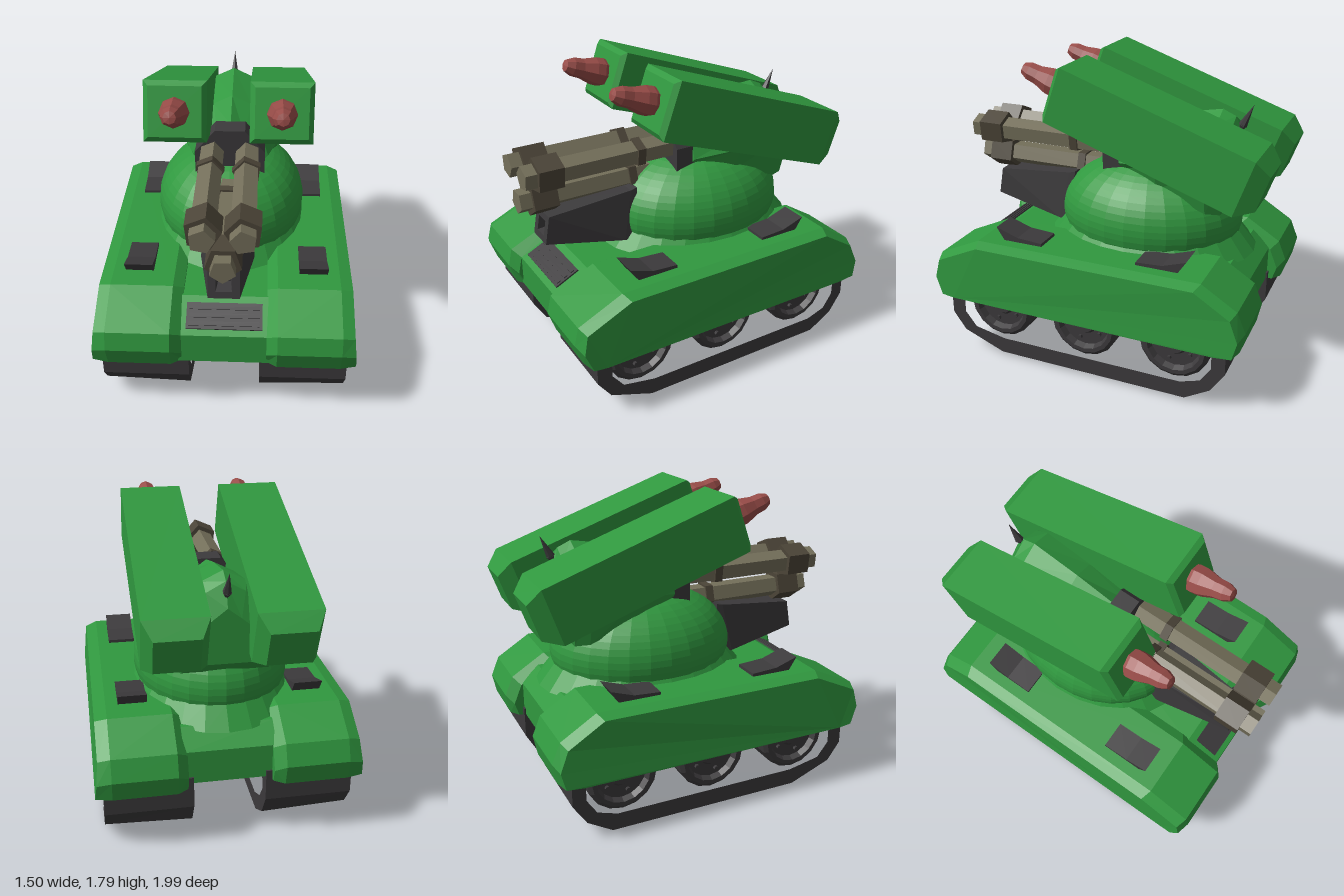
import * as THREE from 'three';

const paint = (name, color) => Object.assign(new THREE.MeshStandardMaterial({ color }), { name });

export function createModel() {
  const green = paint('hull green', 0x30983f);
  const dark = paint('dark rubber', 0x3c3a3c);
  const khaki = paint('barrel khaki', 0x746f5a);
  const brown = paint('collar brown', 0x4c4538);
  const red = paint('missile red', 0x984c48);
  const tank = new THREE.Group();
  tank.name = 'tank';

  // Faceted mesh
  function add(name, geo, mat, parent = tank) {
    const g = geo.index ? geo.toNonIndexed() : geo;
    g.computeVertexNormals();
    const m = new THREE.Mesh(g, mat);
    m.name = name;
    parent.add(m);
    return m;
  }

  // Solid skin through equal-length loops of [x, y, z], turned outward by signed volume
  function loft(sections) {
    const n = sections[0].length, pos = sections.flat(2), idx = [];
    const last = (sections.length - 1) * n;
    for (let s = 0; s < sections.length - 1; s++)
      for (let i = 0; i < n; i++) {
        const a = s * n + i, b = s * n + (i + 1) % n;
        idx.push(a, b, b + n, a, b + n, a + n);
      }
    for (let i = 1; i < n - 1; i++) idx.push(0, i + 1, i, last, last + i, last + i + 1);
    const p = i => new THREE.Vector3().fromArray(pos, i * 3);
    let volume = 0;
    for (let i = 0; i < idx.length; i += 3) volume += p(idx[i]).dot(p(idx[i + 1]).cross(p(idx[i + 2])));
    if (volume < 0) idx.reverse();
    const g = new THREE.BufferGeometry();
    g.setAttribute('position', new THREE.Float32BufferAttribute(pos, 3));
    g.setIndex(idx);
    return g;
  }

  // Side profile of [z, y] points extruded across x, centred on x = 0
  const vec = list => list.map(([a, b]) => new THREE.Vector2(a, b));
  function extrudeX(profile, width, hole) {
    const shape = new THREE.Shape(vec(profile));
    if (hole) shape.holes.push(new THREE.Path(vec(hole)));
    return new THREE.ExtrudeGeometry(shape, { depth: width, bevelEnabled: false })
      .rotateY(-Math.PI / 2).translate(width / 2, 0, 0);
  }
  const rect = (w, y0, y1, z0, z1 = z0, wTop = w) =>
    [[-w, y0, z0], [w, y0, z0], [wTop, y1, z1], [-wTop, y1, z1]];

  // Hull
  add('upperHull', extrudeX([[0.92, 0.38], [0.92, 0.57], [0.7, 0.68], [-0.76, 0.68], [-0.87, 0.58], [-0.87, 0.38]], 0.52), green);
  add('lowerHull', extrudeX([[0.9, 0.4], [0.72, 0.275], [-0.7, 0.275], [-0.86, 0.4]], 0.41), green);
  const vent = add('frontVent', new THREE.BoxGeometry(0.43, 0.012, 0.16), dark);
  vent.position.set(0, 0.626, 0.815);
  vent.rotation.x = Math.atan2(0.11, 0.22);
  for (const i of [-1, 0, 1]) {
    const slat = add('ventSlat', new THREE.BoxGeometry(0.4, 0.009, 0.025), dark);
    slat.rotation.x = vent.rotation.x;
    slat.position.set(0, 0.632 - i * 0.022, 0.818 + i * 0.044);
  }

  // Fenders, tracks and wheels
  const fender = [[0.86, 0.36], [0.94, 0.37], [0.985, 0.5], [0.96, 0.61], [0.69, 0.735],
    [-0.71, 0.74], [-0.92, 0.61], [-0.97, 0.49], [-0.945, 0.37], [-0.84, 0.36]];
  const trackOuter = [[0.88, 0.42], [0.88, 0.23], [0.8, 0.1], [0.54, 0], [-0.65, 0], [-0.8, 0.09], [-0.88, 0.23], [-0.88, 0.42]];
  const trackInner = [[0.79, 0.4], [0.79, 0.25], [0.72, 0.16], [0.52, 0.1], [-0.62, 0.1], [-0.74, 0.16], [-0.8, 0.25], [-0.8, 0.4]];
  const wheelProfile = vec([[0, -0.18], [0.2, -0.18], [0.213, -0.16], [0.213, 0.18], [0.19, 0.2],
    [0.165, 0.2], [0.15, 0.165], [0.075, 0.165], [0.06, 0.185], [0, 0.185]]);
  for (const s of [1, -1]) {
    const side = (x, inset, flare = 0) => fender.map(([z, y]) => {
      const k = y > 0.45 ? inset : 0;
      return [s * (x + (y < 0.45 ? flare : y < 0.55 ? flare / 2 : 0)), y - k, z - Math.sign(z) * inset];
    });
    add('fender', loft([side(0.24, 0.04), side(0.3, 0), side(0.66, 0), side(0.73, 0.022, 0.022)]), green);

    const belt = extrudeX(trackOuter, 0.5, trackInner).translate(s * 0.455, 0, 0);
    const p = belt.attributes.position;
    for (let i = 0; i < p.count; i++)
      if (p.getY(i) < 0.15) p.setY(i, p.getY(i) + (Math.abs(p.getX(i)) - 0.2) * 0.04);
    add('track', belt, dark);

    for (const z of [0.57, 0.005, -0.56]) {
      const wheel = new THREE.Group();
      wheel.name = 'wheel';
      wheel.position.set(s * 0.455, 0.315, z);
      wheel.rotation.z = -s * Math.PI / 2;
      tank.add(wheel);
      add('wheelDisc', new THREE.LatheGeometry(wheelProfile, 16), dark, wheel);
      for (let i = 0; i < 5; i++) {
        const a = i / 5 * Math.PI * 2 + 0.3;
        add('wheelBolt', new THREE.CylinderGeometry(0.014, 0.014, 0.02, 6), dark, wheel)
          .position.set(Math.cos(a) * 0.112, 0.173, Math.sin(a) * 0.112);
      }
    }

    // Raised flaps on the fender tops
    for (const e of [1, -1]) {
      const flap = [[0.6, 0.812], [0.46, 0.765], [0.3, 0.755], [0.3, 0.72], [0.54, 0.72]];
      add('fenderFlap', extrudeX(flap.map(([z, y]) => [z * e, y]), 0.165).translate(s * 0.508, 0, 0), dark);
    }
  }

  // Turret ring and dome
  add('turretRing', new THREE.CylinderGeometry(0.97, 1.14, 0.12, 24).scale(0.45, 1, 0.58).translate(0, 0.72, -0.17), green);
  add('turretDome', new THREE.SphereGeometry(1, 28, 18, 0, Math.PI * 2, 0, Math.PI * 0.6)
    .scale(0.463, 0.37, 0.57).translate(0, 0.84, -0.17), green);

  // Hood over the dome, carrying the pods
  const hood = (z, w, low, shoulder, top, skew = 0) => [[-w * 0.8, low, z], [w * 0.8, low, z], [w, shoulder - 0.08, z],
    [w * 0.9, shoulder, z], [w * 0.35, top - 0.06, z + skew], [0, top, z + skew],
    [-w * 0.35, top - 0.06, z + skew], [-w * 0.9, shoulder, z], [-w, shoulder - 0.08, z]];
  add('turretHood', loft([hood(-0.04, 0.23, 1.14, 1.27, 1.4), hood(-0.3, 0.34, 1.08, 1.32, 1.47),
    hood(-0.6, 0.36, 0.98, 1.33, 1.525), hood(-0.68, 0.31, 0.97, 1.27, 1.49), hood(-0.745, 0.22, 1.04, 1.2, 1.36)]), green);
  const fin = add('antennaFin', new THREE.ConeGeometry(0.026, 0.14, 6), dark);
  fin.position.set(0, 1.505, -0.75);
  fin.rotation.x = -0.45;
  const finBase = add('antennaBase', new THREE.ConeGeometry(0.026, 0.06, 6), dark);
  finBase.position.set(0, 1.42, -0.71);
  finBase.rotation.x = Math.PI - 0.45;

  // Lower gun housing with a square muzzle
  add('gunHousing', loft([rect(0.165, 0.73, 1.05, 0.3, 0.3, 0.13), rect(0.16, 0.735, 1.04, 0.4, 0.34, 0.13),
    rect(0.088, 0.81, 0.98, 0.88, 0.85), rect(0.045, 0.85, 0.94, 0.873, 0.857), rect(0.035, 0.86, 0.93, 0.79)]), dark);
  add('gunBore', new THREE.BoxGeometry(0.035, 0.035, 0.03), dark).position.set(0, 0.895, 0.795);

  // Triple barrel cluster and its mount
  const mount = z => [[-0.21, 1.13, z], [0.21, 1.13, z], [0.21, 1.27, z], [0.09, 1.41, z], [-0.09, 1.41, z], [-0.21, 1.27, z]];
  add('barrelMount', loft([mount(-0.06), mount(0.07)]), dark);
  for (let i = 0; i < 3; i++) {
    const a = -Math.PI / 2 + i * Math.PI * 2 / 3;
    const barrel = new THREE.Group();
    barrel.name = 'barrel';
    barrel.position.set(Math.cos(a) * 0.125, 1.205 + Math.sin(a) * 0.125, 0);
    barrel.rotation.z = a;
    tank.add(barrel);
    const tube = (name, r, z0, z1, mat) => add(name, new THREE.CylinderGeometry(r, r, z1 - z0, 5)
      .rotateX(Math.PI / 2).rotateZ(Math.PI / 2).translate(0, 0, (z0 + z1) / 2), mat, barrel);
    tube('barrelTube', 0.073, 0.02, 1, khaki);
    tube('barrelBand', 0.087, 0.26, 0.31, brown);
    tube('barrelCollar', 0.105, 0.78, 0.93, brown);
  }

  // Missile pods, tilted upward
  const missile = vec([[0, 0.78], [0.075, 0.78], [0.086, 0.83], [0.083, 0.88], [0.06, 0.96], [0.056, 1.02], [0.036, 1.065], [0, 1.072]]);
  for (const s of [1, -1]) {
    const pod = new THREE.Group();
    pod.name = 'missilePod';
    pod.position.x = s * 0.298;
    pod.rotation.x = -0.336;
    tank.add(pod);
    const ring = (w, h, z) => rect(w, 1.452 - h, 1.452 + h, z);
    add('podBox', loft([ring(0.125, 0.11, -0.507), ring(0.178, 0.172, -0.41), ring(0.178, 0.172, 0.785),
      ring(0.15, 0.143, 0.811)]), green, pod);
    add('missile', new THREE.LatheGeometry(missile, 8).rotateX(Math.PI / 2).translate(0, 1.452, 0), red, pod);
  }
  return tank;
}
